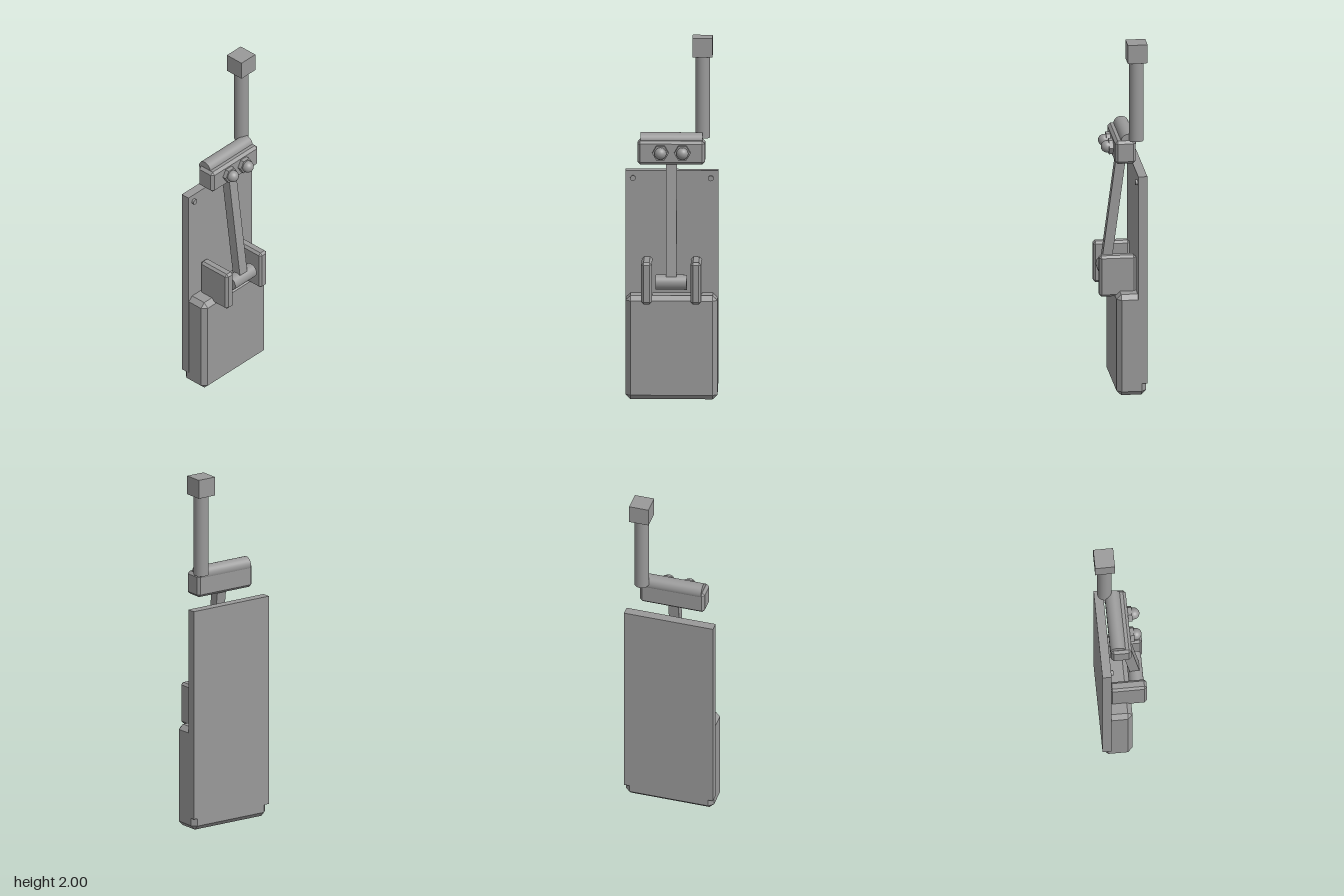
import * as THREE from 'three';
import { ConvexGeometry } from 'three/addons/geometries/ConvexGeometry.js';

const grey = new THREE.MeshStandardMaterial({ color: 0x999999 });
grey.name = 'grey';

// Box given by its min and max corners, with every edge chamfered by c
function chamferBox(min, max, c) {
  const mid = min.map((v, i) => (v + max[i]) / 2);
  const half = min.map((v, i) => (max[i] - v) / 2);
  const points = [];
  for (const sx of [-1, 1]) for (const sy of [-1, 1]) for (const sz of [-1, 1]) {
    const s = [sx, sy, sz];
    for (let face = 0; face < 3; face++) {
      points.push(new THREE.Vector3(...mid.map((m, i) => m + s[i] * (half[i] - (i === face ? 0 : c)))));
    }
  }
  return new ConvexGeometry(points);
}

function box(min, max) {
  const size = max.map((v, i) => v - min[i]);
  return new THREE.BoxGeometry(...size).translate(...min.map((v, i) => v + size[i] / 2));
}

export function createModel() {
  const model = new THREE.Group();
  model.name = 'device';

  function add(name, geometry, x = 0, y = 0, z = 0) {
    const mesh = new THREE.Mesh(geometry, grey);
    mesh.name = name;
    mesh.position.set(x, y, z);
    model.add(mesh);
    return mesh;
  }

  // Back plate and chamfered lower body
  add('backPlate', box([-0.254, 0.07, -0.125], [0.254, 1.255, -0.075]));
  add('lowerBody', chamferBox([-0.251, 0, -0.12], [0.251, 0.576, 0.042], 0.026));

  // Mirrored brackets and plate pins
  for (const side of [-1, 1]) {
    const label = side > 0 ? 'left' : 'right';
    add(label + 'Bracket', chamferBox([-0.029, 0.545, -0.074], [0.029, 0.778, 0.128], 0.013), side * 0.135);
    add(label + 'Pin', new THREE.CylinderGeometry(0.015, 0.015, 0.03, 16).rotateX(Math.PI / 2), side * 0.213, 1.213, -0.077);
  }

  // Hinge axle with the tilted arm
  add('axle', new THREE.CylinderGeometry(0.041, 0.041, 0.17, 32).rotateZ(Math.PI / 2), 0, 0.662, 0.077);
  const arm = add('arm', new THREE.BoxGeometry(0.058, 0.72, 0.054), 0, 1.01, 0.031);
  arm.rotation.x = -Math.atan(0.133);

  // Head with the roll along its top
  add('head', chamferBox([-0.186, 1.307, -0.071], [0.183, 1.438, 0.043], 0.015));
  add('roll', new THREE.CylinderGeometry(0.042, 0.042, 0.338, 32).rotateZ(Math.PI / 2), -0.001, 1.433, -0.032);

  // Eyes on hexagonal sockets
  const socket = new THREE.CylinderGeometry(0.045, 0.045, 0.03, 6, 1, false, Math.PI / 2)
    .rotateX(Math.PI / 2).toNonIndexed();
  socket.computeVertexNormals();
  for (const x of [-0.06, 0.06]) {
    add('eyeSocket', socket, x, 1.376, 0.051);
    add('eye', new THREE.SphereGeometry(0.033, 24, 16), x, 1.376, 0.075);
  }

  // Antenna with its cube tip
  add('antenna', new THREE.CylinderGeometry(0.04, 0.04, 0.47, 32), 0.168, 1.675, -0.074);
  add('antennaTip', box([0.113, 1.895, -0.13], [0.223, 2, -0.021]));

  return model;
}
